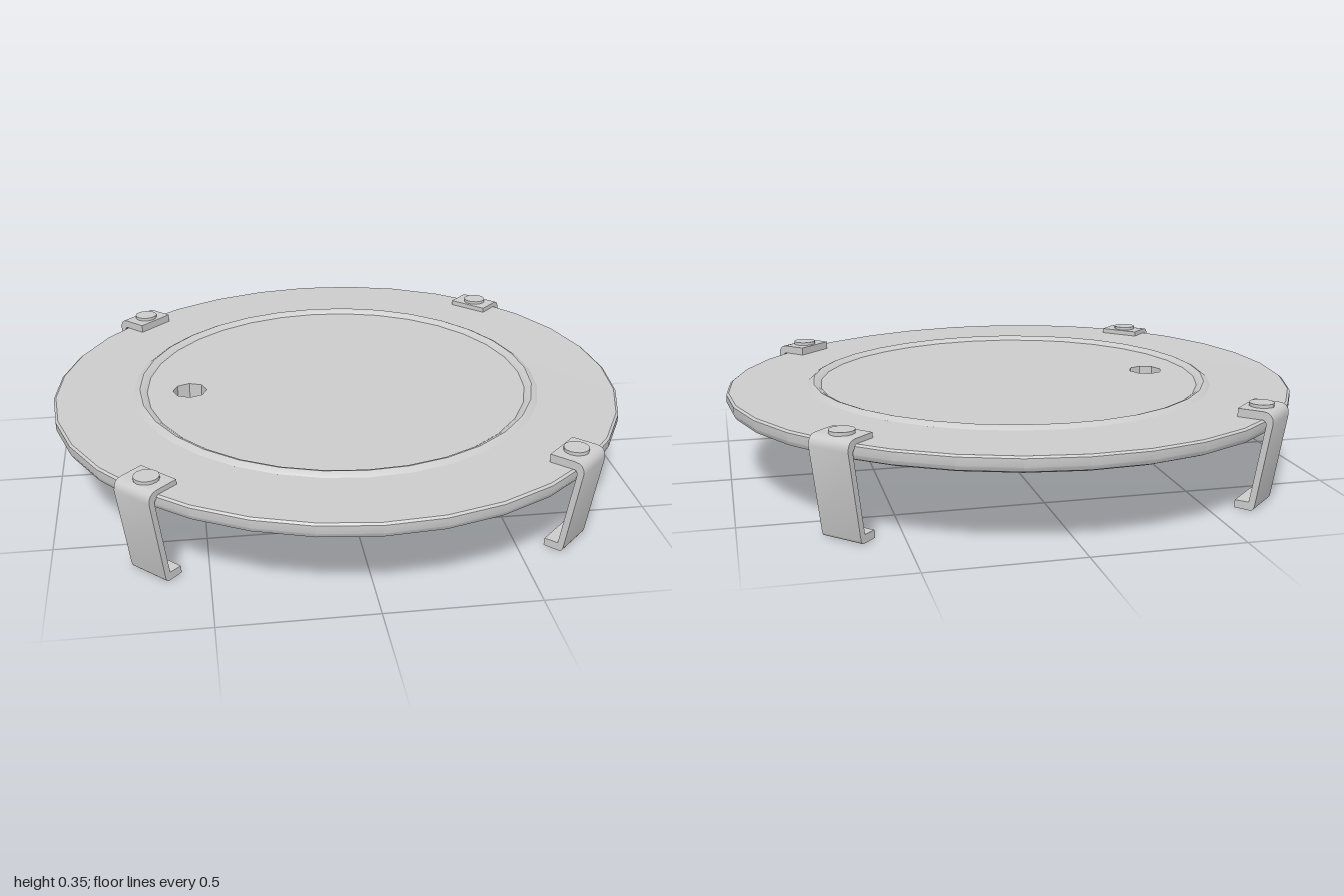
import * as THREE from 'three';
import { toCreasedNormals } from 'three/addons/utils/BufferGeometryUtils.js';

const SIDES = 32;
const HOLE = { x: -0.525, r: 0.06 };
const grey = () => new THREE.MeshStandardMaterial({ color: 0xcccccc });

// Slight saddle twist of the sheet
const warp = (x, z) => -0.013 * x * z;

// Radius factor that turns the circle of the hole into an octagon
function octagon(a) {
  const step = Math.PI / 4;
  const local = ((a % step) + step) % step - step / 2;
  return Math.cos(step / 2) / Math.cos(local);
}

// Closed loft: hole wall, top face, raised ring, rounded rim, underside
function plateGeometry() {
  const rows = [
    ['hole', 0.256], ['hole', 0.312],
    [0.675, 0.312], [0.688, 0.322], [0.7, 0.326], [0.709, 0.322], [0.722, 0.313],
    [0.992, 0.313], [1, 0.307], [1, 0.28], [0.992, 0.265], [0.97, 0.256],
    ['hole', 0.256],
  ];
  const pos = [], index = [];
  for (const [r, y] of rows) {
    for (let i = 0; i < SIDES; i++) {
      const a = (i / SIDES) * Math.PI * 2;
      const isHole = r === 'hole';
      const rad = isHole ? HOLE.r * octagon(a) : r;
      const x = Math.sin(a) * rad + (isHole ? HOLE.x : 0);
      const z = Math.cos(a) * rad;
      pos.push(x, y + warp(x, z), z);
    }
  }
  for (let j = 0; j < rows.length - 1; j++) {
    for (let i = 0; i < SIDES; i++) {
      const n = (i + 1) % SIDES;
      const a = j * SIDES + i, b = j * SIDES + n;
      const c = a + SIDES, d = b + SIDES;
      index.push(a, c, b, b, c, d);
    }
  }
  const g = new THREE.BufferGeometry();
  g.setAttribute('position', new THREE.Float32BufferAttribute(pos, 3));
  g.setIndex(index);
  return toCreasedNormals(g, 0.5);
}

// Bent strip: tab on the plate, leg leaning inward, foot turned inward
function clipGeometry() {
  const width = 0.15;
  const s = new THREE.Shape();
  s.moveTo(0.905, 0.308);
  s.lineTo(0.99, 0.308);
  s.quadraticCurveTo(1.002, 0.306, 1.001, 0.29);
  s.lineTo(0.957, 0.028);
  s.lineTo(0.91, 0.028);
  s.lineTo(0.908, 0.002);
  s.lineTo(0.965, 0);
  s.quadraticCurveTo(0.976, 0.002, 0.978, 0.02);
  s.lineTo(1.024, 0.3);
  s.quadraticCurveTo(1.024, 0.336, 0.99, 0.336);
  s.lineTo(0.905, 0.336);
  s.closePath();
  const g = new THREE.ExtrudeGeometry(s, { depth: width, bevelEnabled: false, curveSegments: 4 });
  g.translate(0, 0, -width / 2);
  return toCreasedNormals(g, 0.6);
}

export function createModel() {
  const model = new THREE.Group();

  const plate = new THREE.Mesh(plateGeometry(), grey());
  plate.name = 'plate';
  model.add(plate);

  const clipGeo = clipGeometry();
  const screwGeo = toCreasedNormals(new THREE.CylinderGeometry(0.041, 0.041, 0.03, 16), 0.6);

  // Four clips on the diagonals
  for (let i = 0; i < 4; i++) {
    const clip = new THREE.Group();
    clip.name = 'clip' + (i + 1);
    const strip = new THREE.Mesh(clipGeo, grey());
    strip.name = 'clipStrip';
    const screw = new THREE.Mesh(screwGeo, grey());
    screw.name = 'screwHead';
    screw.position.set(0.957, 0.332, 0);
    clip.add(strip, screw);
    clip.rotation.y = Math.PI / 4 + (i * Math.PI) / 2;
    model.add(clip);
  }
  return model;
}
